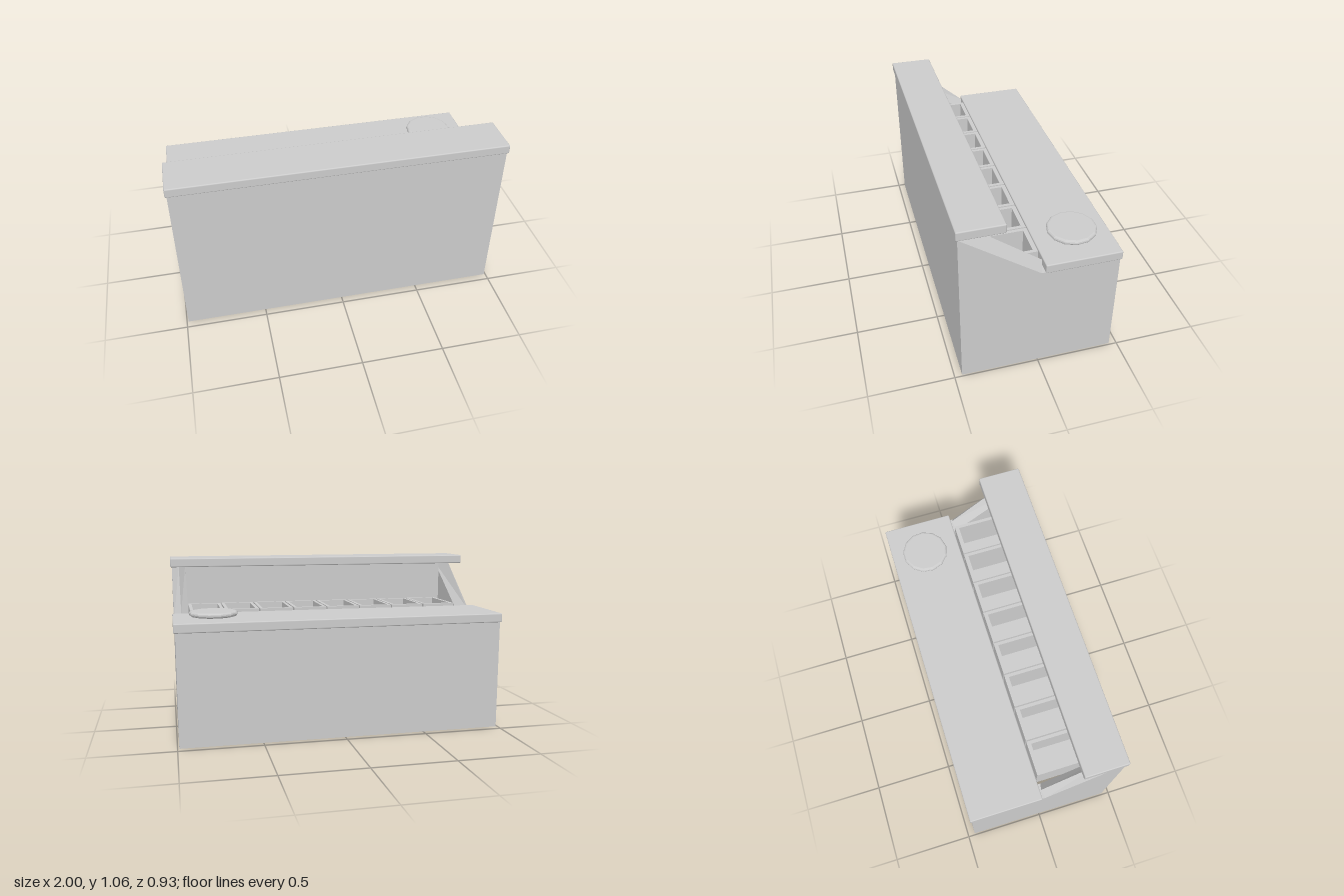
import * as THREE from 'three';
import { RoundedBoxGeometry } from 'three/addons/geometries/RoundedBoxGeometry.js';

const material = new THREE.MeshStandardMaterial({ color: 0xcccccc, flatShading: true });
const smooth = new THREE.MeshStandardMaterial({ color: 0xcccccc });

export function createModel() {
  const model = new THREE.Group();
  const add = (name, geometry, x = 0, y = 0, z = 0, mat = material, parent = model) => {
    const mesh = new THREE.Mesh(geometry, mat);
    mesh.name = name;
    mesh.position.set(x, y, z);
    parent.add(mesh);
    return mesh;
  };

  const W = 0.99, INNER = 0.9, D = 0.455, LOW = 0.675, HIGH = 1.0;
  const T = W - INNER;

  // Front and back walls; the cabinet is open underneath
  add('frontWall', new THREE.BoxGeometry(INNER * 2, HIGH, T), 0, HIGH / 2, D - T / 2);
  add('backWall', new THREE.BoxGeometry(INNER * 2, LOW, T), 0, LOW / 2, T / 2 - D);

  // Side walls with a slope from the high front to the low back
  const profile = new THREE.Shape([[D, 0], [D, HIGH], [0, LOW], [-D, LOW], [-D, 0]]
    .map(([z, y]) => new THREE.Vector2(z, y)));
  const sideGeometry = new THREE.ExtrudeGeometry(profile, { depth: T, bevelEnabled: false });
  sideGeometry.rotateY(-Math.PI / 2);
  add('leftWall', sideGeometry, W);
  add('rightWall', sideGeometry, -INNER);

  // Ridged trim along each slope, a three-sided prism
  const trim = (side, ridgeZ) => {
    const mid = side * (W + INNER) / 2;
    const points = [
      side * W, HIGH, D, mid, HIGH, ridgeZ, side * INNER, HIGH, D,
      side * W, LOW, 0, mid, 0.73, -0.015, side * INNER, LOW, 0,
    ];
    const faces = [0, 1, 2, 3, 5, 4];
    for (let i = 0; i < 3; i++) {
      const j = (i + 1) % 3;
      faces.push(i, i + 3, j, j, i + 3, j + 3);
    }
    if (side < 0) faces.reverse();
    const g = new THREE.BufferGeometry();
    g.setAttribute('position', new THREE.Float32BufferAttribute(points, 3));
    g.setIndex(faces);
    const flat = g.toNonIndexed();
    flat.computeVertexNormals();
    return flat;
  };
  const trimMaterial = material.clone();
  trimMaterial.side = THREE.DoubleSide;
  add('leftSlopeTrim', trim(1, 0.34), 0, 0, 0, trimMaterial);
  add('rightSlopeTrim', trim(-1, 0.3), 0, 0, 0, trimMaterial);

  // Shelf over the front and worktop over the back
  add('topShelf', new RoundedBoxGeometry(2, 0.056, 0.265, 2, 0.007), 0, 1.028, 0.3325, smooth);
  add('worktop', new RoundedBoxGeometry(2, 0.056, 0.443, 2, 0.007), 0, 0.702, -0.2435, smooth);

  // Row of eight open food bins
  const rect = (Class, w, d) => {
    const p = new Class();
    p.moveTo(-w / 2, -d / 2);
    p.lineTo(w / 2, -d / 2);
    p.lineTo(w / 2, d / 2);
    p.lineTo(-w / 2, d / 2);
    p.closePath();
    return p;
  };
  const binW = 0.212, binD = 0.36, binH = 0.24, floor = 0.02;
  const outline = rect(THREE.Shape, binW, binD);
  outline.holes.push(rect(THREE.Path, binW - 0.04, binD - 0.05));
  const binWalls = new THREE.ExtrudeGeometry(outline, { depth: binH, bevelEnabled: false });
  binWalls.rotateX(-Math.PI / 2);
  const binFloor = new THREE.BoxGeometry(binW - 0.04, floor, binD - 0.05);
  for (let i = 0; i < 8; i++) {
    const bin = new THREE.Group();
    bin.name = 'foodBin';
    bin.position.set(-0.755 + i * 0.22, 0.505, 0.17);
    add('binWalls', binWalls, 0, 0, 0, material, bin);
    add('binFloor', binFloor, 0, floor / 2, 0, material, bin);
    model.add(bin);
  }

  // Round plate with a soft rim
  const R = 0.145, r = 0.015;
  const rim = [new THREE.Vector2(0, -r)];
  for (let i = 0; i <= 6; i++) {
    const a = -Math.PI / 2 + i * Math.PI / 6;
    rim.push(new THREE.Vector2(R - r + r * Math.cos(a), r * Math.sin(a)));
  }
  rim.push(new THREE.Vector2(0, r));
  add('plate', new THREE.LatheGeometry(rim, 13), 0.76, 0.756, -0.25);

  return model;
}
